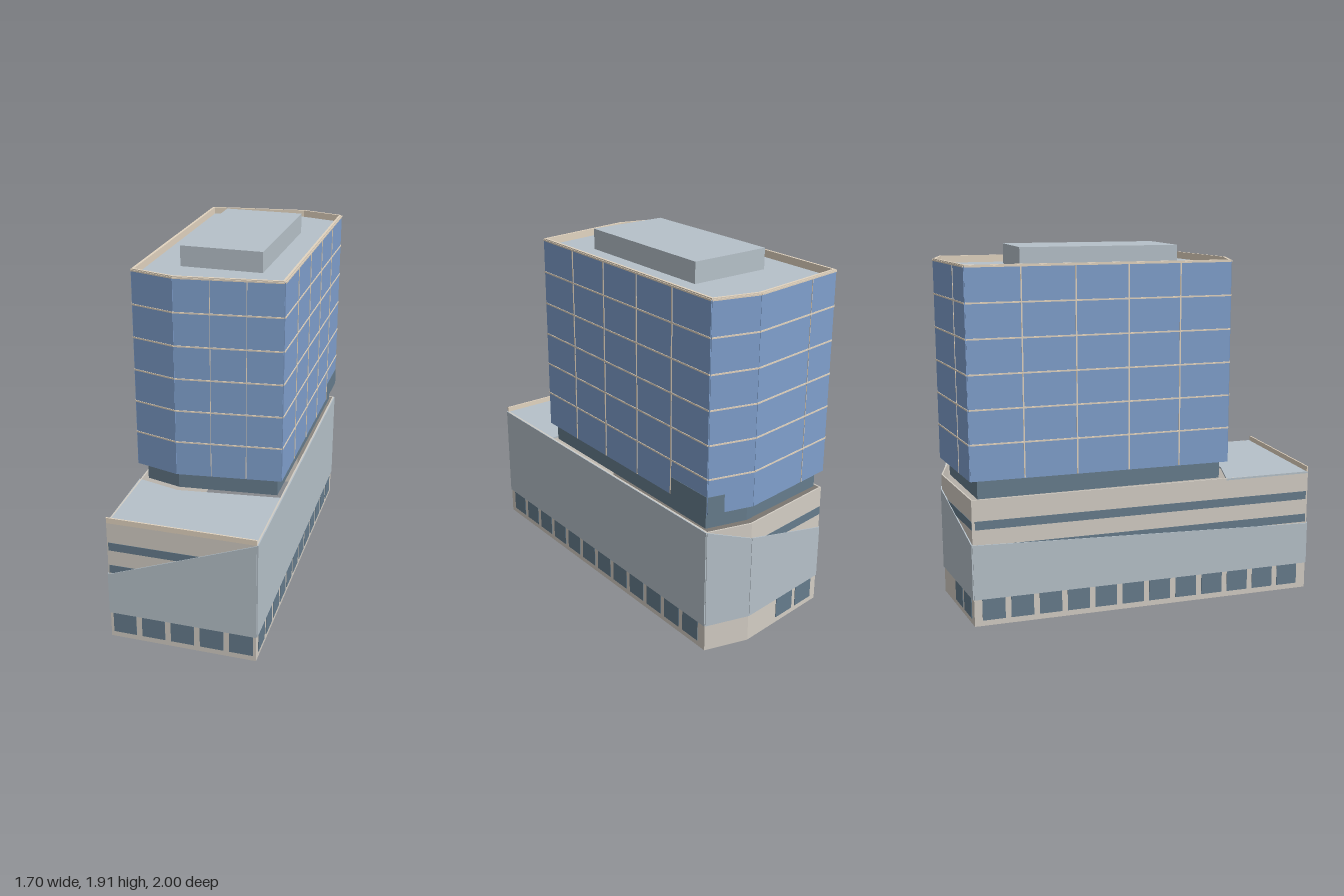
import * as THREE from 'three';

const mat = (color) => new THREE.MeshStandardMaterial({ color, side: THREE.DoubleSide });

// Plan corners as [x, z], ordered so that each edge faces outward
const A = [-0.845, 0.56], B = [-0.2, 0.995], C = [0.84, -0.568], D = [0.68, -0.75], E = [0.183, -0.995];
const F = [-0.58, 0.15], G = [-0.42, 0.335], H = [0.07, 0.58];
const podiumPlan = [A, B, C, D, E];
const towerPlan = [F, G, H, C, D, E];
const neckPlan = [[-0.53, 0.15], [-0.4, 0.3], [0.063, 0.545], [0.8, -0.55], [0.65, -0.715], [0.18, -0.955]];
const penthousePlan = [[-0.305, 0.055], [0.055, 0.3], [0.523, -0.395], [0.16, -0.64]];

// Loops over the edges of a plan
const eachEdge = (plan, fn) => plan.forEach((p, i) => fn(p, plan[(i + 1) % plan.length], i));

export function createModel() {
  const root = new THREE.Group();
  const stone = mat(0xd3cdc4), panel = mat(0xb6c1c9), roofGrey = mat(0xb6c1c9);
  const glass = mat(0x7f9fcc), darkGlass = mat(0x667c8c), trim = mat(0xe2d4c0);

  const group = (name) => {
    const g = new THREE.Group();
    g.name = name;
    root.add(g);
    return g;
  };

  // Horizontal slab or solid block over a plan
  function block(parent, name, plan, y0, y1, material) {
    const shape = new THREE.Shape(plan.map(([x, z]) => new THREE.Vector2(x, -z)));
    const geo = new THREE.ExtrudeGeometry(shape, { depth: y1 - y0, bevelEnabled: false });
    geo.rotateX(-Math.PI / 2);
    const mesh = new THREE.Mesh(geo, material);
    mesh.name = name;
    mesh.position.y = y0;
    parent.add(mesh);
  }

  // Upright plate on the edge p-q: fractions t0..t1, sloping top yA..yB, set out by off
  function plate(parent, name, p, q, material, { t0 = 0, t1 = 1, y0, yA, yB = yA, off = 0, depth = 0.004 }) {
    const dx = q[0] - p[0], dz = q[1] - p[1], len = Math.hypot(dx, dz);
    const shape = new THREE.Shape([
      new THREE.Vector2(t0 * len, y0), new THREE.Vector2(t1 * len, y0),
      new THREE.Vector2(t1 * len, yB), new THREE.Vector2(t0 * len, yA),
    ]);
    const geo = new THREE.ExtrudeGeometry(shape, { depth, bevelEnabled: false });
    geo.translate(0, 0, off);
    const mesh = new THREE.Mesh(geo, material);
    mesh.name = name;
    mesh.rotation.y = Math.atan2(-dz, dx);
    mesh.position.set(p[0], 0, p[1]);
    parent.add(mesh);
  }

  // Podium shell, open below, with a parapet on the short front wall
  const podium = group('podium');
  eachEdge(podiumPlan, (p, q, i) => {
    plate(podium, 'podiumWall', p, q, stone, { y0: 0, yA: 0.672, off: -0.008, depth: 0.008 });
    if (i === 0) plate(podium, 'parapet', p, q, trim, { y0: 0.67, yA: 0.7, off: -0.008, depth: 0.008 });
  });
  block(podium, 'terrace', [A, B, H, G, F], 0.662, 0.672, roofGrey);

  // Cladding whose upper edge climbs and falls around the podium
  const cladTops = [0.375, 0.672, 0.672, 0.592, 0.437];
  const cladding = group('cladding');
  eachEdge(podiumPlan, (p, q, i) => {
    plate(cladding, 'claddingPanel', p, q, panel,
      { y0: 0.145, yA: cladTops[i], yB: cladTops[(i + 1) % 5], depth: 0.006 });
  });

  // Ribbon windows above the cladding
  const ribbons = group('ribbonWindows');
  for (const [p, q] of [[A, B], [D, E], [E, A]])
    for (const [y0, yA] of [[0.385, 0.43], [0.515, 0.56]])
      plate(ribbons, 'ribbonWindow', p, q, darkGlass, { t0: 0.008, t1: 0.995, y0, yA, depth: 0.002 });

  // Ground floor windows: edge, count, first fraction, pitch, width
  const groundWindows = group('groundWindows');
  const rows = [
    [A, B, 5, 0.02, 0.2, 0.16],
    [B, C, 12, 0.022, 0.0805, 0.064],
    [D, E, 2, 0.4, 0.285, 0.235],
    [E, A, 12, 0.022, 0.0805, 0.064],
  ];
  for (const [p, q, n, first, pitch, w] of rows)
    for (let k = 0; k < n; k++) {
      const t0 = first + k * pitch;
      plate(groundWindows, 'groundWindow', p, q, darkGlass, { t0, t1: t0 + w, y0: 0.03, yA: 0.145, depth: 0.003 });
    }

  // Recessed glazed neck between podium and tower
  const neck = group('neck');
  eachEdge(neckPlan, (p, q) =>
    plate(neck, 'neckGlazing', p, q, darkGlass, { y0: 0.67, yA: 0.775, off: -0.004 }));

  // Tower body with glazed faces rising past the roof
  const tower = group('tower');
  block(tower, 'towerCore', towerPlan, 0.77, 1.795, glass);
  block(tower, 'towerRoof', towerPlan, 1.795, 1.8, roofGrey);
  const mullions = [[], [1 / 3, 2 / 3], [0.2, 0.4, 0.6, 0.8], [], [2 / 3], [0.2, 0.4, 0.6, 0.8]];
  eachEdge(towerPlan, (p, q, i) => {
    plate(tower, 'curtainWall', p, q, glass, { y0: 0.768, yA: 1.83 });
    plate(tower, 'roofParapet', p, q, trim, { y0: 1.79, yA: 1.838, off: -0.012, depth: 0.012 });
    for (let k = 1; k <= 6; k++) {
      const y = 0.78 + 0.175 * k;
      plate(tower, 'floorLine', p, q, trim, { y0: y - 0.004, yA: y + 0.004, off: 0.003 });
    }
    for (const t of mullions[i])
      plate(tower, 'mullion', p, q, trim, { t0: t - 0.0025, t1: t + 0.0025, y0: 0.77, yA: 1.83, off: 0.003 });
  });

  // Dark corner glazing at the foot of the tower
  const corner = group('cornerGlazing');
  plate(corner, 'cornerPane', H, C, darkGlass, { t0: 0.8, y0: 0.768, yA: 0.863, off: 0.003, depth: 0.003 });
  plate(corner, 'cornerPane', C, D, darkGlass, { t1: 0.36, y0: 0.768, yA: 0.863, off: 0.003, depth: 0.003 });

  // Plant room on the roof
  block(group('penthouse'), 'plantRoom', penthousePlan, 1.8, 1.908, roofGrey);

  return root;
}
